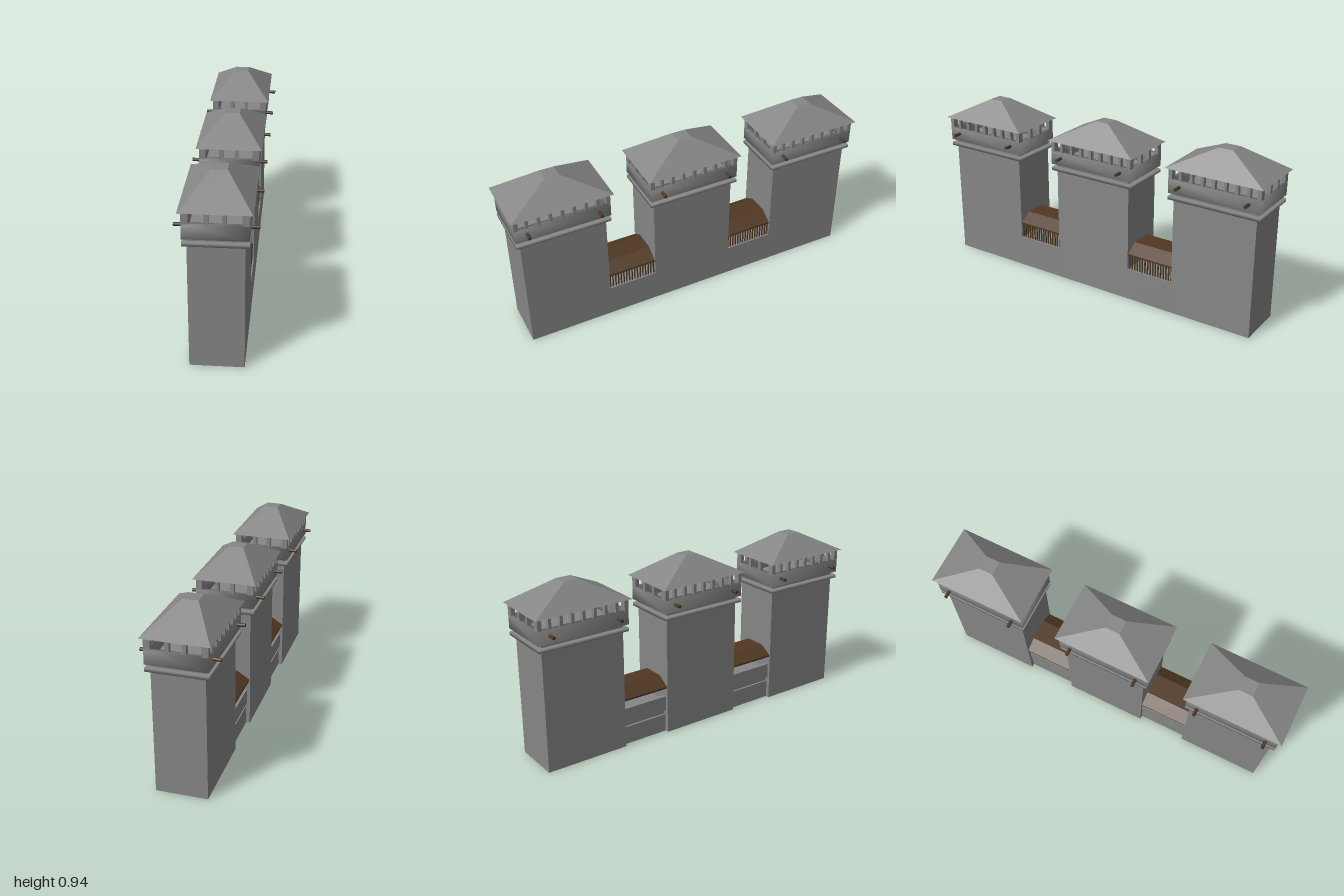
import * as THREE from 'three';
import { mergeVertices } from 'three/addons/utils/BufferGeometryUtils.js';

const stone = new THREE.MeshStandardMaterial({ color: 0x868686 });
const wood = new THREE.MeshStandardMaterial({ color: 0x503822 });

function add(parent, name, geo, mat, x = 0, y = 0, z = 0) {
  const mesh = new THREE.Mesh(geo, mat);
  mesh.name = name;
  mesh.position.set(x, y, z);
  parent.add(mesh);
  return mesh;
}

// Box given by its extents on each axis
function block(parent, name, mat, [x0, x1], [y0, y1], [z0, z1]) {
  const geo = new THREE.BoxGeometry(x1 - x0, y1 - y0, z1 - z0);
  return add(parent, name, geo, mat, (x0 + x1) / 2, (y0 + y1) / 2, (z0 + z1) / 2);
}

// Share corner points so the shading runs softly across the edges
function soften(geo) {
  geo.deleteAttribute('normal');
  geo.deleteAttribute('uv');
  const merged = mergeVertices(geo);
  merged.computeVertexNormals();
  return merged;
}

function rectangle(PathType, hx, hz) {
  return new PathType([[-hx, -hz], [hx, -hz], [hx, hz], [-hx, hz]].map(p => new THREE.Vector2(...p)));
}

// Rectangular ring of wall standing on y = 0
function ringGeometry(hx, hz, thick, height) {
  const shape = rectangle(THREE.Shape, hx, hz);
  shape.holes.push(rectangle(THREE.Path, hx - thick, hz - thick));
  return new THREE.ExtrudeGeometry(shape, { depth: height, bevelEnabled: false }).rotateX(-Math.PI / 2);
}

// Hipped roof with a small flat top
function roofGeometry(hx, hz, top, height) {
  const geo = new THREE.BoxGeometry(2 * hx, height, 2 * hz).translate(0, height / 2, 0);
  const p = geo.attributes.position;
  for (let i = 0; i < p.count; i++) {
    if (p.getY(i) > height / 2) {
      p.setX(i, Math.sign(p.getX(i)) * top);
      p.setZ(i, Math.sign(p.getZ(i)) * top);
    }
  }
  geo.computeVertexNormals();
  return geo;
}

const BODY_X = 0.133, BODY_Z = 0.23, HEAD_X = 0.154, HEAD_Z = 0.253, WALL = 0.022;

function createTower() {
  const tower = new THREE.Group();
  tower.name = 'tower';
  block(tower, 'towerBody', stone, [-BODY_X, BODY_X], [0, 0.7], [-BODY_Z, BODY_Z]);
  add(tower, 'cornice', soften(new THREE.BoxGeometry(2 * HEAD_X, 0.018, 2 * HEAD_Z)), stone, 0, 0.668, 0);
  block(tower, 'lookoutFloor', stone, [0.002 - HEAD_X, HEAD_X - 0.002], [0.695, 0.705], [0.002 - HEAD_Z, HEAD_Z - 0.002]);
  add(tower, 'parapet', soften(ringGeometry(HEAD_X, HEAD_Z, WALL, 0.075)), stone, 0, 0.695, 0);
  add(tower, 'roof', roofGeometry(0.17, 0.269, 0.039, 0.115), stone, 0, 0.83, 0);

  // Window posts: corners, then the ends and the long sides
  const px = HEAD_X - WALL / 2, pz = HEAD_Z - WALL / 2;
  const post = (x, z, w, d) =>
    block(tower, 'windowPost', stone, [x - w / 2, x + w / 2], [0.768, 0.832], [z - d / 2, z + d / 2]);
  for (const s of [-1, 1]) {
    for (const t of [-1, 1]) post(s * (HEAD_X - 0.0165), t * pz, 0.033, WALL);
    for (const x of [-0.041, 0.041]) post(x, s * pz, 0.02, WALL);
    for (let i = 1; i < 8; i++) post(s * px, -HEAD_Z + 0.004 + i * (2 * HEAD_Z - 0.008) / 8, WALL, 0.016);
    // Timber beam ends
    for (const z of [-0.19, 0.19]) {
      const beam = new THREE.CylinderGeometry(0.009, 0.009, 0.06, 10).rotateZ(Math.PI / 2);
      add(tower, 'beamEnd', beam, wood, s * 0.166, 0.738, z);
    }
  }
  return tower;
}

// Low gallery between two towers, closed on one side, railed on the other
function createGallery(length) {
  const gallery = new THREE.Group();
  gallery.name = 'gallery';
  const span = [-length / 2, length / 2];
  block(gallery, 'galleryWall', stone, [-0.1, BODY_X], [0, 0.18], span);
  block(gallery, 'lowerPlinth', stone, [-0.112, -0.09], [0, 0.1], span);
  block(gallery, 'rearParapet', stone, [-0.118, -0.095], [0.125, 0.21], span);

  // Timber roof with sloping sides
  const profile = new THREE.Shape([
    [-0.128, 0.26], [0.128, 0.26], [0.128, 0.27], [0.06, 0.314], [-0.06, 0.314], [-0.128, 0.27],
  ].map(p => new THREE.Vector2(...p)));
  add(gallery, 'galleryRoof',
    new THREE.ExtrudeGeometry(profile, { depth: length, bevelEnabled: false }), wood, 0, 0, -length / 2);

  // Railing bars
  const bar = new THREE.BoxGeometry(0.006, 0.084, 0.006);
  const count = 17;
  for (let i = 0; i < count; i++) {
    add(gallery, 'railingBar', bar, wood, 0.122, 0.22, ((i + 0.5) / count - 0.5) * length);
  }
  return gallery;
}

export function createModel() {
  const model = new THREE.Group();
  model.name = 'threeTowerGate';
  for (const z of [-0.731, 0, 0.731]) {
    const tower = createTower();
    tower.position.z = z;
    model.add(tower);
  }
  for (const z of [-0.3655, 0.3655]) {
    const gallery = createGallery(0.275);
    gallery.position.z = z;
    model.add(gallery);
  }
  model.rotation.y = -0.0062;
  return model;
}
